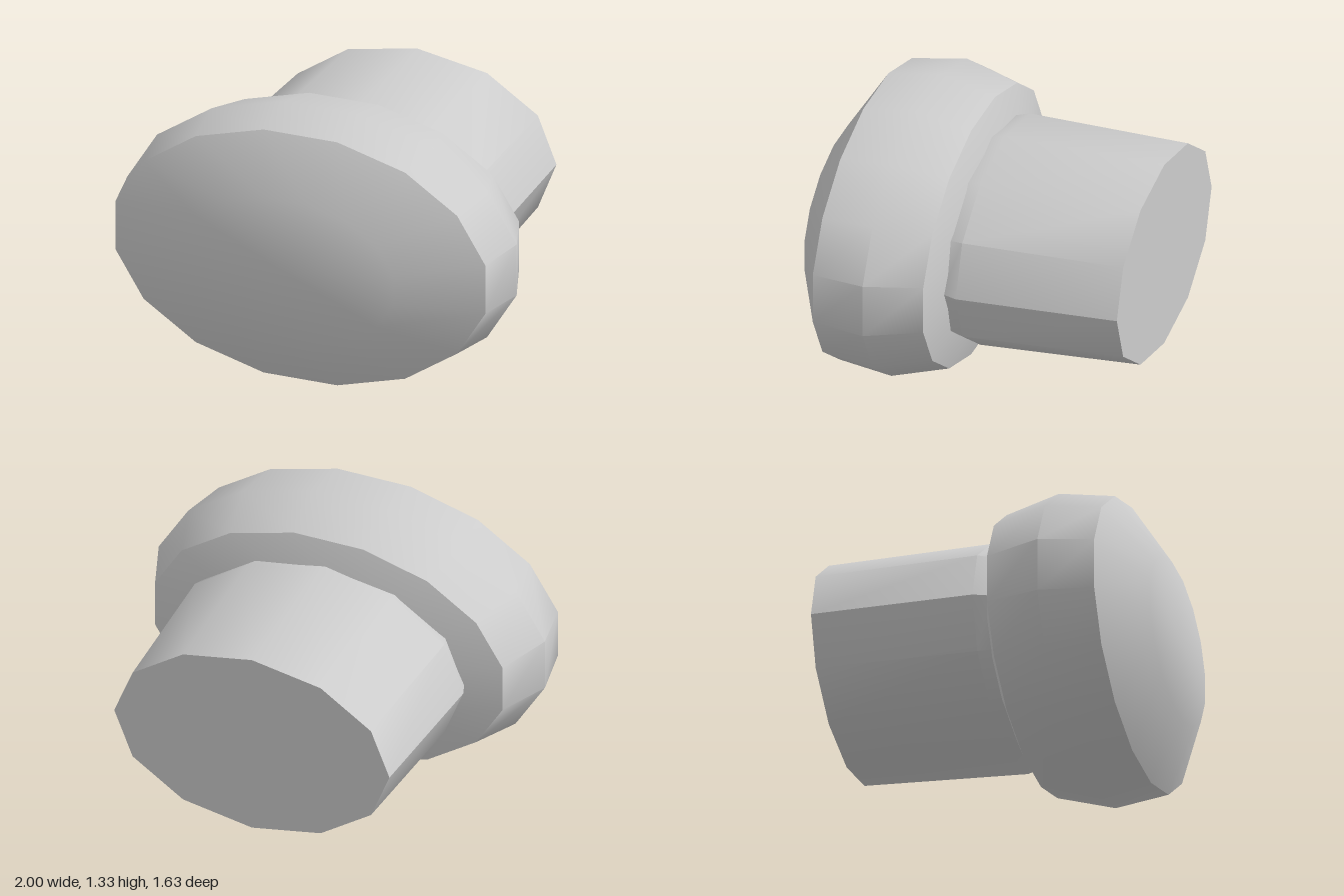
import * as THREE from 'three';
import { toCreasedNormals } from 'three/addons/utils/BufferGeometryUtils.js';

const CENTRE_Y = 0.673;

// Elliptical turned part along z; profile is [x radius, z] from back to front.
function ovalPart(name, profile, sides, startAngle, squash, material) {
  const points = profile.map(([r, z]) => new THREE.Vector2(r, z));
  const geometry = new THREE.LatheGeometry(points, sides, startAngle);
  geometry.rotateX(Math.PI / 2);
  geometry.scale(1, squash, 1);
  geometry.deleteAttribute('uv');
  const mesh = new THREE.Mesh(
    toCreasedNormals(geometry, THREE.MathUtils.degToRad(37)), material);
  mesh.name = name;
  mesh.position.y = CENTRE_Y;
  return mesh;
}

export function createModel() {
  const group = new THREE.Group();
  group.name = 'ovalKnob';

  const grey = new THREE.MeshStandardMaterial({ color: 0xcccccc });
  grey.name = 'light grey';

  // Wide bevelled head with a shallow domed face
  const R = 1.02;
  group.add(ovalPart('head', [
    [0, -0.02], [0.54 * R, 0.0], [0.9 * R, 0.09], [R, 0.36],
    [0.95 * R, 0.625], [0.55 * R, 0.8], [0, 0.815],
  ], 16, Math.PI / 16, 0.667, grey));

  // Tapered stem, its rounded front end sunk into the head
  group.add(ovalPart('stem', [
    [0, -0.815], [0.713, -0.815], [0.745, -0.02], [0.715, 0.06], [0, 0.08],
  ], 12, 0, 0.671, grey));

  return group;
}
